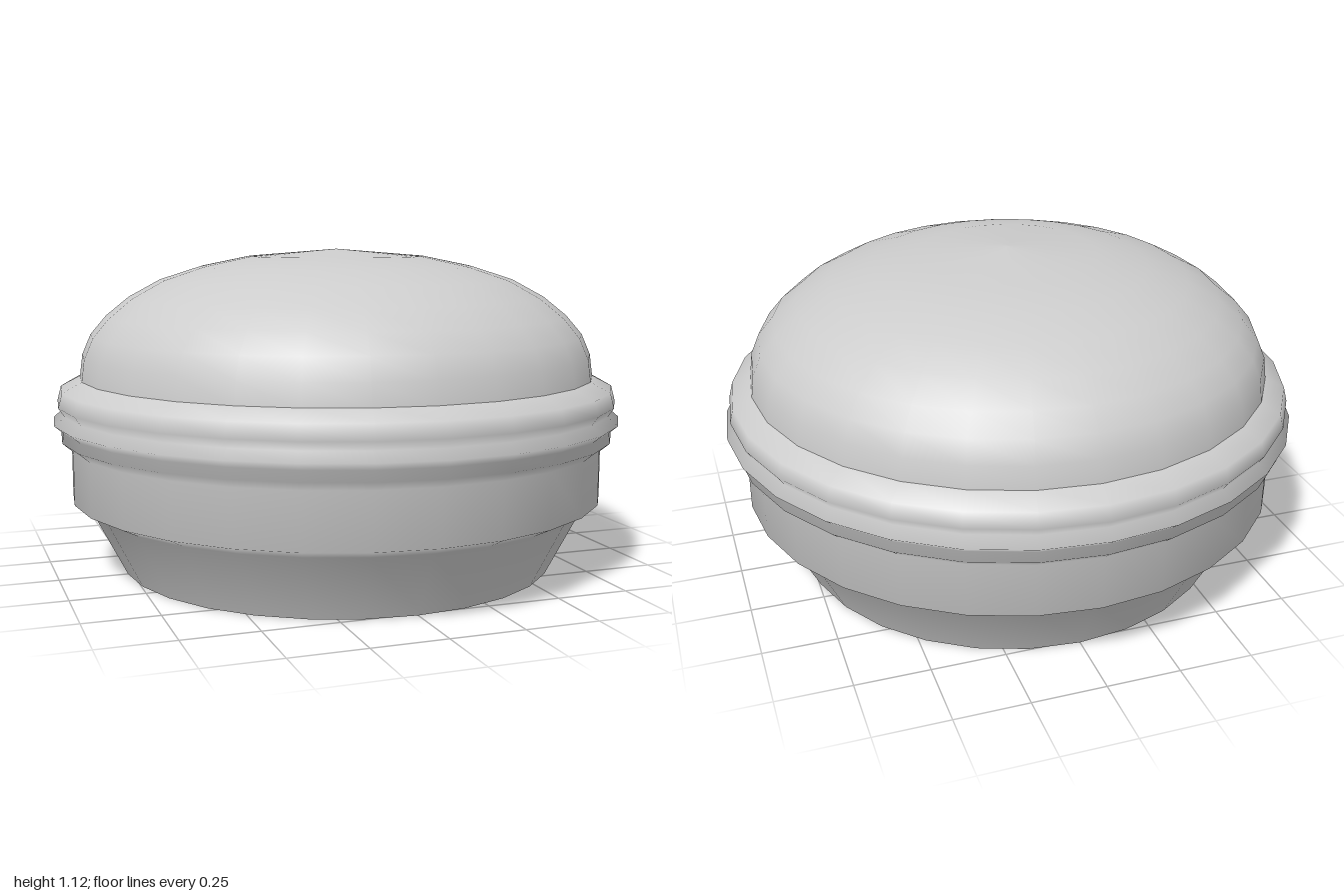
import * as THREE from 'three';

const SIDES = 28;

// Revolves [radius, height] pairs around the y axis
function turned(name, profile, material) {
  const points = profile.map(([r, y]) => new THREE.Vector2(r, y));
  const mesh = new THREE.Mesh(new THREE.LatheGeometry(points, SIDES), material);
  mesh.name = name;
  return mesh;
}

export function createModel() {
  const group = new THREE.Group();
  group.name = 'domedContainer';
  const grey = new THREE.MeshStandardMaterial({ color: 0xcccccc });
  grey.name = 'light grey';

  // Flat underside
  const base = new THREE.Mesh(new THREE.CircleGeometry(0.765, SIDES), grey);
  base.name = 'base';
  base.rotation.x = Math.PI / 2;
  group.add(base);

  // Tapered foot, straight wall and ridged rim
  group.add(turned('body', [
    [0.765, 0], [0.775, 0.02], [0.88, 0.225], [0.94, 0.255],
    [0.94, 0.44], [0.975, 0.47], [0.97, 0.505], [1.0, 0.53],
    [0.965, 0.56], [0.985, 0.59], [0.972, 0.64], [0.905, 0.675],
  ], grey));

  // Domed top with a shallow cone at the crown
  group.add(turned('dome', [
    [0.905, 0.675], [0.895, 0.75], [0.865, 0.82], [0.81, 0.885],
    [0.73, 0.95], [0.62, 1.01], [0.48, 1.055], [0.31, 1.09], [0, 1.115],
  ], grey));

  return group;
}
